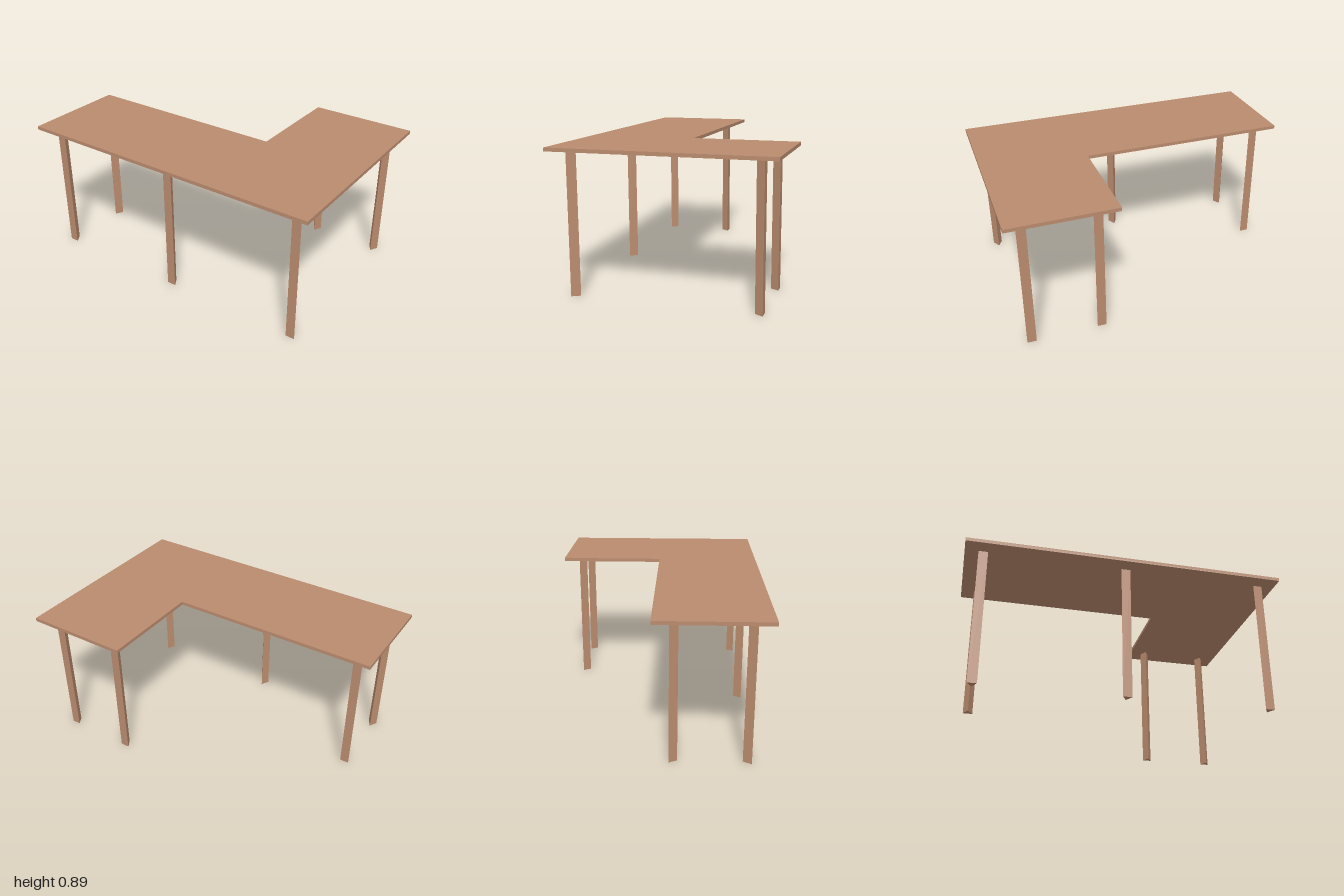
import * as THREE from 'three';

const LEG_HEIGHT = 0.867;
const TOP_THICKNESS = 0.022;
const LEG_RADIUS = 0.0333;

export function createModel() {
  const group = new THREE.Group();
  const wood = new THREE.MeshStandardMaterial({ color: 0xba8b6e, flatShading: true });

  // L-shaped table top, drawn in plan (shape y = -z) and laid flat
  const plan = new THREE.Shape(
    [[-1, -0.667], [1, -0.667], [1, 0.667], [0.333, 0.667], [0.333, 0], [-1, 0]]
      .map(([x, y]) => new THREE.Vector2(x, y))
  );
  const topGeometry = new THREE.ExtrudeGeometry(plan, { depth: TOP_THICKNESS, bevelEnabled: false });
  topGeometry.rotateX(-Math.PI / 2);
  const tableTop = new THREE.Mesh(topGeometry, wood);
  tableTop.name = 'tableTop';
  tableTop.position.y = LEG_HEIGHT;
  group.add(tableTop);

  // Three-sided legs: the flat side faces outward, the ridge faces inward
  const legGeometry = new THREE.CylinderGeometry(LEG_RADIUS, LEG_RADIUS, LEG_HEIGHT, 3);
  const addLeg = (name, x, z, turn) => {
    const leg = new THREE.Mesh(legGeometry, wood);
    leg.name = name;
    leg.position.set(x, LEG_HEIGHT / 2, z);
    leg.rotation.y = turn;
    group.add(leg);
  };
  addLeg('frontRightLeg', -0.889, 0.558, Math.PI);
  addLeg('frontMiddleLeg', 0, 0.558, Math.PI);
  addLeg('frontLeftLeg', 0.889, 0.558, Math.PI);
  addLeg('backRightLeg', -0.889, 0.113, 0);
  addLeg('returnInnerLeg', 0.444, -0.558, 0);
  addLeg('returnOuterLeg', 0.889, -0.558, 0);

  return group;
}
